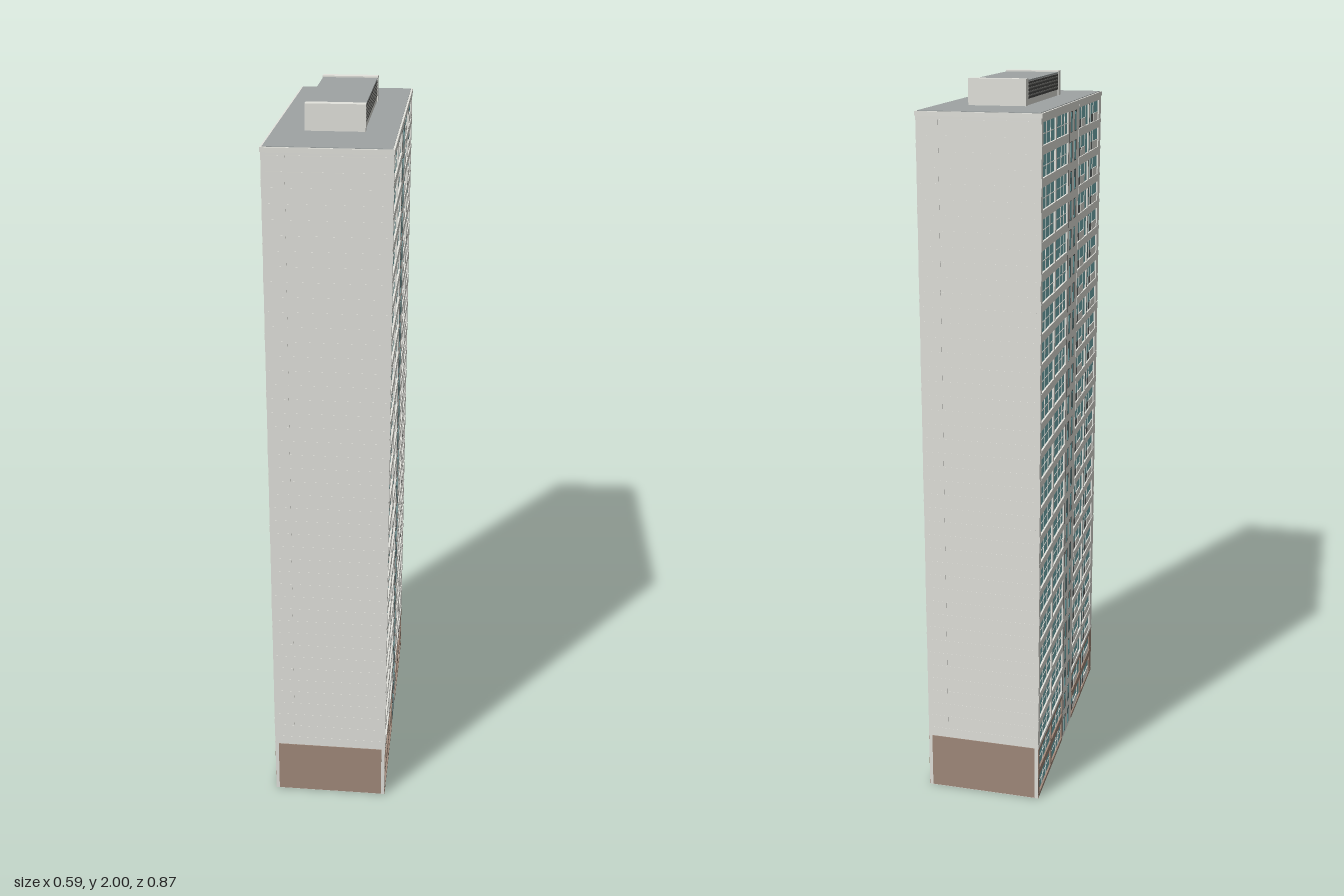
import * as THREE from 'three';
import { mergeGeometries } from 'three/addons/utils/BufferGeometryUtils.js';

const FLOORS = 24, FH = 0.08, TOP = FLOORS * FH;
const HX = 0.163, HZ = 0.4; // half width and half length of the block

const COLOURS = {
  wall: 0xe4e4de, plinth: 0xa28b7c, glass: 0x76b3b7, roofing: 0x9fa4a4,
  darkTrim: 0x4c4c4a, door: 0x646a6a, louvre: 0x7c7c78,
};

export function createModel() {
  const mats = {};
  for (const [name, color] of Object.entries(COLOURS)) {
    mats[name] = new THREE.MeshStandardMaterial({ color });
    mats[name].name = name;
  }

  // Boxes are given by their min and max corners and gathered into one mesh per part
  const collector = () => {
    const parts = new Map();
    return {
      box(part, mat, x0, x1, y0, y1, z0, z1) {
        const g = new THREE.BoxGeometry(x1 - x0, y1 - y0, z1 - z0);
        g.translate((x0 + x1) / 2, (y0 + y1) / 2, (z0 + z1) / 2);
        if (!parts.has(part)) parts.set(part, { mat, list: [] });
        parts.get(part).list.push(g);
      },
      build(name) {
        const group = new THREE.Group();
        group.name = name;
        for (const [part, { mat, list }] of parts) {
          const mesh = new THREE.Mesh(mergeGeometries(list), mats[mat]);
          mesh.name = part;
          group.add(mesh);
        }
        return group;
      },
    };
  };

  // Main block, roof and rooftop plant room
  const main = collector();
  main.box('block', 'wall', -0.155, 0.155, 0, TOP, -HZ + 0.01, HZ - 0.01);
  main.box('roofCap', 'wall', -HX - 0.001, HX + 0.001, TOP - 0.002, TOP + 0.01, -HZ - 0.002, HZ + 0.002);
  main.box('roofDeck', 'roofing', -HX + 0.004, HX - 0.004, TOP + 0.009, TOP + 0.0115, -HZ + 0.004, HZ - 0.004);
  main.box('plantRoom', 'wall', -0.075, 0.075, 1.93, 1.993, -0.19, 0.19);
  main.box('plantRoof', 'roofing', -0.0755, 0.0755, 1.992, 1.996, -0.189, 0.189);

  // One long face and one end wall; the other pair is the same turned half round
  const half = collector();

  // End wall with panel seams and the coloured plinth
  half.box('endWall', 'wall', -HX + 0.001, HX - 0.001, 0, TOP, HZ - 0.015, HZ);
  half.box('endPlinth', 'plinth', -0.152, 0.152, 0.002, 0.163, HZ - 0.002, HZ + 0.0015);
  half.box('endJoint', 'wall', -0.1055, -0.1035, 0.163, TOP - 0.002, HZ - 0.001, HZ + 0.0008);
  for (let r = 0; r < 2 * (FLOORS - 2); r++) {
    const y = 0.19 + r * FH / 2;
    half.box('endSeams', 'wall', -0.152, 0.152, y, y + 0.001, HZ - 0.001, HZ + 0.0004);
  }

  // Central stair strip and its full-height dark joints
  half.box('stairStrip', 'wall', 0.15, 0.162, 0, TOP, -0.066, 0.067);
  for (const z of [0.068, -0.2175])
    half.box('facadeJoints', 'darkTrim', 0.15, 0.1628, 0, TOP - 0.002, z - 0.0015, z + 0.0015);

  // Window bays along the face; balcony bays have a door and a solid panel below the glass
  const bays = [
    { z0: 0.234, z1: 0.382, mullions: [0.283, 0.332] },
    { z0: 0.077, z1: 0.221, mullions: [0.112, 0.152] },
    { z0: -0.211, z1: -0.07, mullions: [-0.117, -0.175], door: [-0.114, -0.08], panel: [-0.172, -0.114] },
    { z0: -0.366, z1: -0.224, mullions: [-0.258, -0.292], door: [-0.292, -0.26], panel: [-0.36, -0.292] },
  ];
  const piers = [[0.382, HZ - 0.001], [0.221, 0.234], [0.07, 0.077],
    [-0.07, -0.066], [-0.224, -0.211], [1 - HZ - 0.999, -0.366]];

  for (let k = 0; k < FLOORS; k++) {
    const y = k * FH;
    const frame = k < 2 ? 'plinth' : 'wall';
    const tag = k < 2 ? 'lower' : 'upper';

    // Ledges and piers around the bays
    for (const [a, b] of [[0.07, HZ - 0.001], [-HZ + 0.001, -0.068]]) {
      half.box(tag + 'Ledges', frame, 0.15, HX, y, y + 0.011, a, b);
      half.box(tag + 'Ledges', frame, 0.15, HX, y + 0.068, y + FH, a, b);
    }
    for (const [a, b] of piers)
      half.box(tag + 'Piers', frame, 0.15, 0.1625, y, y + FH, a, b);

    for (const { z0, z1, mullions, door, panel } of bays) {
      half.box('windows', 'glass', 0.15, 0.158, y + 0.011, y + 0.068, z0, z1);
      for (const z of mullions)
        half.box('mullions', 'wall', 0.15, 0.1595, y + 0.011, y + 0.068, z - 0.001, z + 0.001);
      if (door) {
        half.box('balconyDoors', 'door', 0.15, 0.159, y + 0.011, y + 0.034, ...door);
        half.box('balconyPanels', 'wall', 0.15, 0.1605, y + 0.011, y + 0.034, ...panel);
      } else {
        half.box('transoms', 'wall', 0.15, 0.1592, y + 0.037, y + 0.039, z0, z1);
      }
    }

    // Narrow stair windows
    for (const z of [0.034, -0.02]) {
      half.box('stairFrames', 'darkTrim', 0.16, 0.1625, y + 0.01, y + 0.066, z - 0.012, z + 0.012);
      half.box('stairWindows', 'glass', 0.16, 0.163, y + 0.012, y + 0.064, z - 0.006, z + 0.011);
    }
  }

  // Plant room end block and louvred side
  half.box('plantEnd', 'wall', -0.0775, 0.0775, 1.93, 2, 0.187, 0.212);
  half.box('plantGrille', 'darkTrim', 0.073, 0.0762, 1.948, 1.991, -0.184, 0.184);
  for (let i = 0; i < 4; i++) {
    const y = 1.954 + i * 0.0095;
    half.box('plantLouvres', 'louvre', 0.074, 0.0774, y, y + 0.0035, -0.178, 0.178);
  }

  const model = new THREE.Group();
  model.name = 'apartmentTower';
  const tower = main.build('towerCore');
  const sideA = half.build('firstFaces');
  const sideB = sideA.clone();
  sideB.name = 'secondFaces';
  sideB.rotation.y = Math.PI;
  tower.add(sideA, sideB);
  tower.rotation.y = THREE.MathUtils.degToRad(-20.6);
  model.add(tower);
  return model;
}
